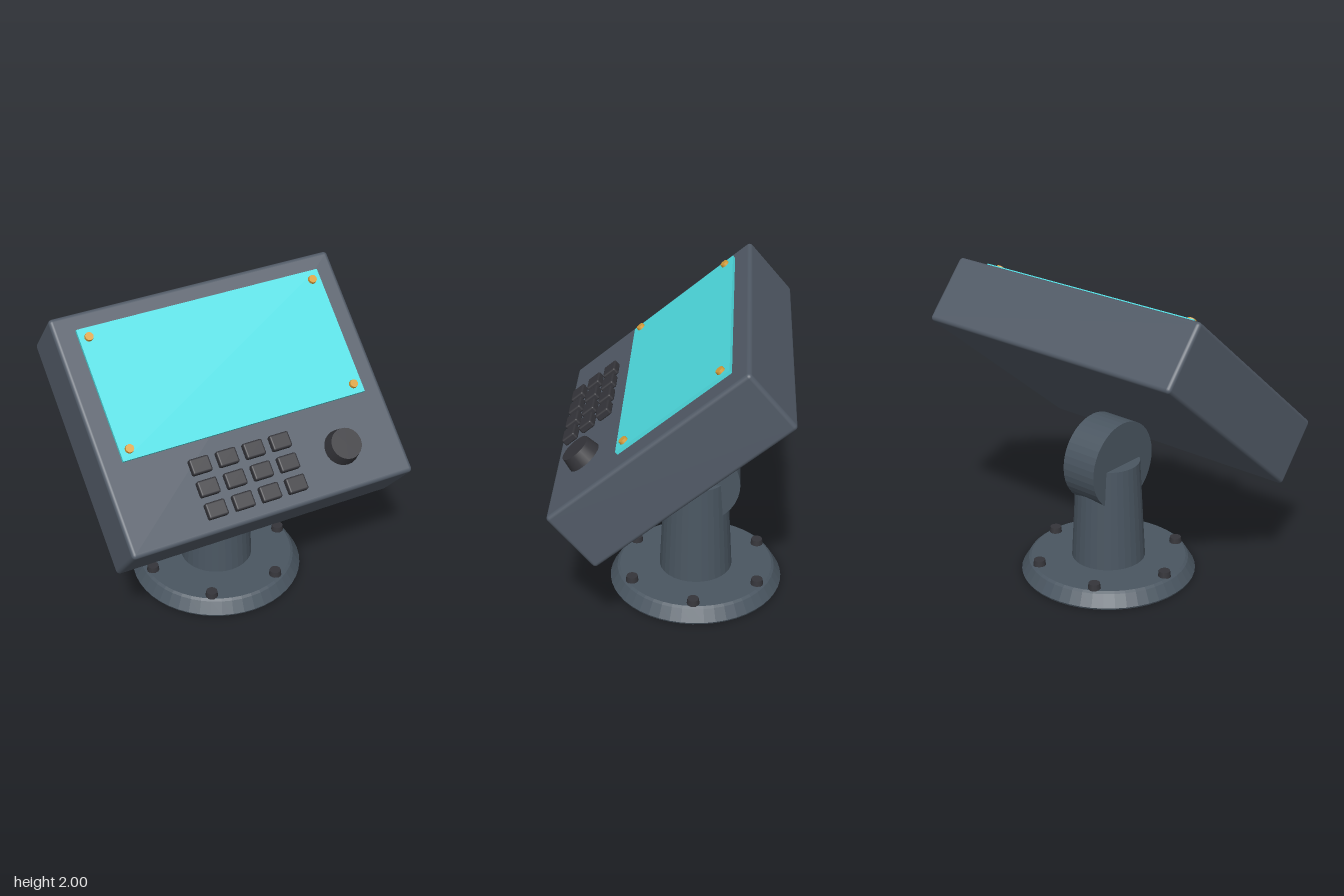
import * as THREE from 'three';
import { RoundedBoxGeometry } from 'three/addons/geometries/RoundedBoxGeometry.js';

const paint = (name, color) => {
  const m = new THREE.MeshStandardMaterial({ color });
  m.name = name;
  return m;
};

// copy of a material-independent geometry with one normal per face
function faceted(geometry) {
  const g = geometry.toNonIndexed();
  g.computeVertexNormals();
  return g;
}

export function createModel() {
  const housingGrey = paint('housing grey', 0x515a66);
  const standGrey = paint('stand grey', 0x4a5661);
  const darkRubber = paint('dark rubber', 0x35353a);
  const screenCyan = paint('screen cyan', 0x4edce1);
  const brass = paint('brass', 0xd9a03c);

  const model = new THREE.Group();
  model.name = 'consoleOnStand';

  function add(parent, name, geometry, material, x = 0, y = 0, z = 0) {
    const mesh = new THREE.Mesh(geometry, material);
    mesh.name = name;
    mesh.position.set(x, y, z);
    parent.add(mesh);
    return mesh;
  }

  // Stand: flanged base, tapered column and swivel drum
  const stand = new THREE.Group();
  stand.name = 'stand';
  stand.position.z = -0.128;
  model.add(stand);

  const flange = [[0, 0], [0.565, 0], [0.57, 0.012], [0.523, 0.088], [0.506, 0.1], [0, 0.1]]
    .map(([x, y]) => new THREE.Vector2(x, y));
  add(stand, 'base', faceted(new THREE.LatheGeometry(flange, 48)), standGrey);
  add(stand, 'column', faceted(new THREE.CylinderGeometry(0.205, 0.24, 0.675, 32)), standGrey, 0, 0.4375, 0);
  const drum = faceted(new THREE.CylinderGeometry(0.286, 0.286, 0.25, 40).rotateZ(Math.PI / 2));
  add(stand, 'swivelDrum', drum, standGrey, 0, 0.774, 0);

  // Six bolts around the base
  const boltShape = new THREE.CylinderGeometry(0.037, 0.042, 0.04, 12);
  for (let i = 0; i < 6; i++) {
    const a = (i * Math.PI) / 3;
    add(stand, 'baseBolt', boltShape, darkRubber, 0.472 * Math.cos(a), 0.117, 0.472 * Math.sin(a));
  }

  // Tilted console; its local +z is the face normal
  const consoleUnit = new THREE.Group();
  consoleUnit.name = 'console';
  consoleUnit.position.y = 1.347;
  consoleUnit.rotation.x = THREE.MathUtils.degToRad(-50);
  model.add(consoleUnit);

  add(consoleUnit, 'housing', new RoundedBoxGeometry(1.916, 1.532, 0.445, 3, 0.025), housingGrey);
  add(consoleUnit, 'screen', new THREE.BoxGeometry(1.65, 0.85, 0.022), screenCyan, 0, 0.225, 0.246);

  // Screws at the screen corners
  const screwShape = new THREE.CylinderGeometry(0.026, 0.028, 0.02, 16).rotateX(Math.PI / 2);
  for (const x of [-0.765, 0.765]) {
    for (const y of [-0.137, 0.587]) add(consoleUnit, 'screenScrew', screwShape, brass, x, y, 0.266);
  }

  // Keypad, four columns by three rows
  const keyShape = new RoundedBoxGeometry(0.128, 0.1, 0.05, 2, 0.012);
  for (let col = 0; col < 4; col++) {
    for (let row = 0; row < 3; row++) {
      add(consoleUnit, 'key', keyShape, darkRubber, -0.387 + col * 0.18, -0.355 - row * 0.14, 0.265);
    }
  }

  // Control knob
  const knobShape = new THREE.CylinderGeometry(0.1, 0.115, 0.085, 24).rotateX(Math.PI / 2);
  add(consoleUnit, 'knob', knobShape, darkRubber, 0.543, -0.495, 0.2775);

  return model;
}
